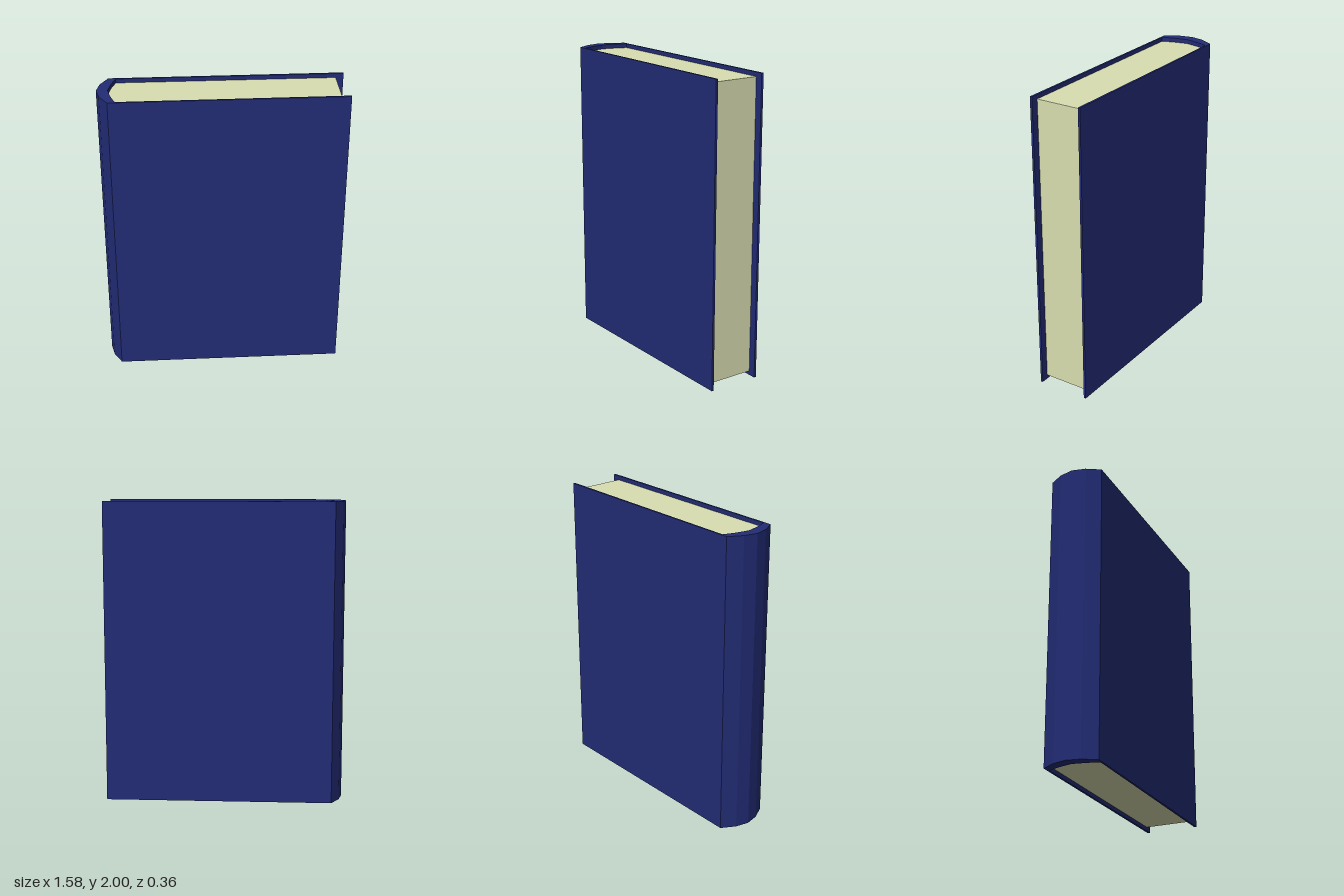
import * as THREE from 'three';

// Upright prism from a plan outline given as [x, z] for the +z half, mirrored in z.
function prism(name, outline, y0, y1, color) {
  const shape = new THREE.Shape(outline.map(([x, z]) => new THREE.Vector2(x, z)));
  const geometry = new THREE.ExtrudeGeometry(shape, { depth: y1 - y0, bevelEnabled: false });
  geometry.rotateX(-Math.PI / 2).translate(0, y0, 0);
  const mesh = new THREE.Mesh(geometry, new THREE.MeshStandardMaterial({ color, flatShading: true }));
  mesh.name = name;
  return mesh;
}

// Appends the z-mirrored points in reverse, skipping those on the axis.
function mirrored(half) {
  return [...half, ...half.filter(([, z]) => z !== 0).reverse().map(([x, z]) => [x, -z])];
}

export function createModel() {
  const book = new THREE.Group();
  book.name = 'book';

  // Faceted spine curve: outside of the cover, and inside where the pages meet it
  const outer = [[-0.79, 0], [-0.77, 0.09], [-0.717, 0.182]];
  const inner = [[-0.717, 0], [-0.698, 0.09], [-0.67, 0.17]];

  // Cover: two boards joined by the rounded spine, open at the fore edge
  const outside = [...outer, [0.79, 0.182]];
  const inside = [[0.79, 0.167], ...inner.slice(1).reverse()];
  const flip = ([x, z]) => [x, -z];
  const cover = [
    ...outside, ...inside, inner[0],
    ...inside.map(flip).reverse(), ...outside.slice(1).map(flip).reverse(),
  ];
  book.add(prism('cover', cover, 0, 2, 0x222c75));

  // Page block, set back from the cover at the top, bottom and fore edge
  const pages = mirrored([...inner, [0.74, 0.167]]);
  book.add(prism('pages', pages, 0.028, 1.972, 0xdadeb0));

  return book;
}
